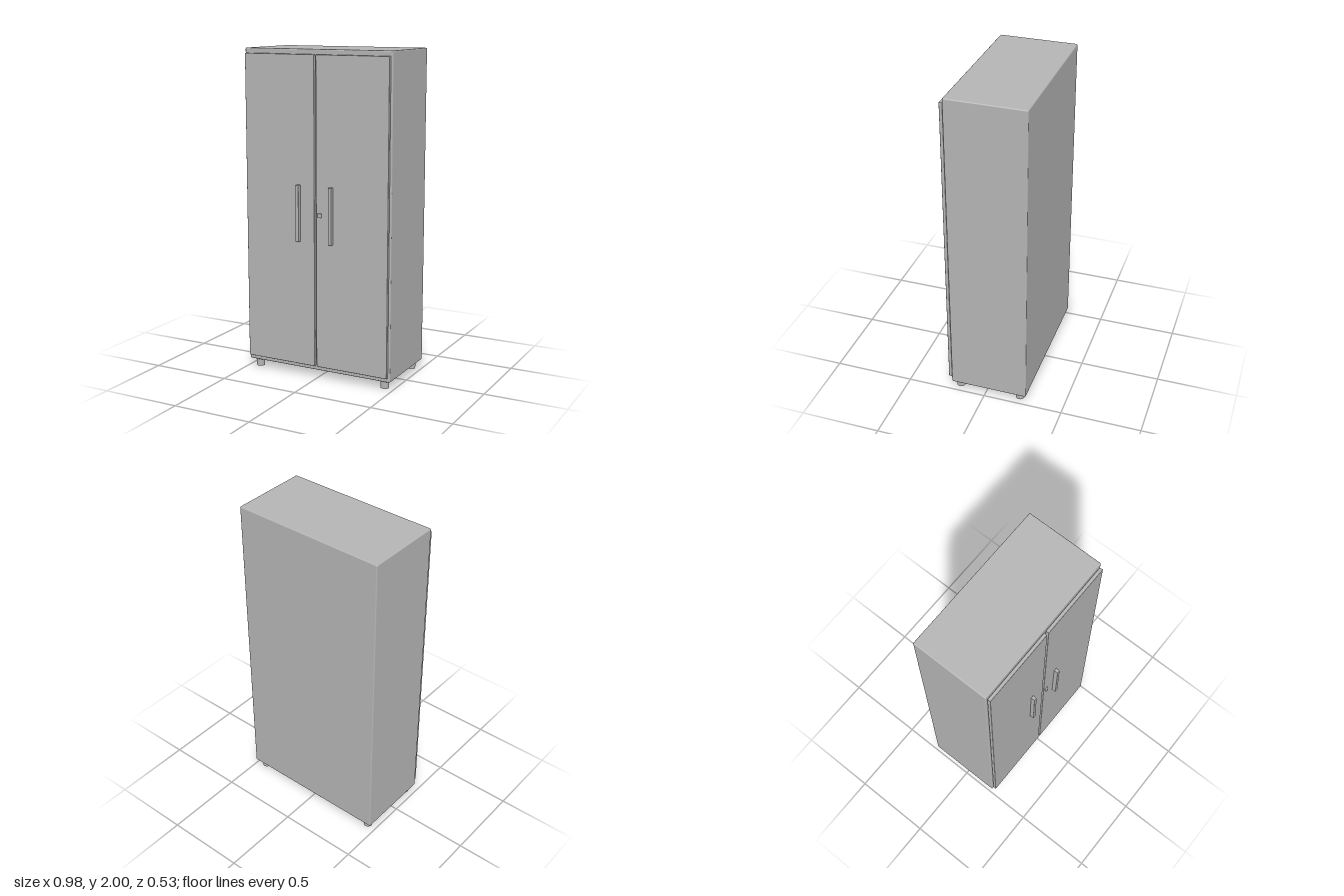
import * as THREE from 'three';
import { RoundedBoxGeometry } from 'three/addons/geometries/RoundedBoxGeometry.js';

export function createModel() {
  const cabinet = new THREE.Group();
  cabinet.name = 'cabinet';

  const greyMetal = new THREE.MeshStandardMaterial({ color: 0xb4b4b4 });
  greyMetal.name = 'greyMetal';

  function add(name, geometry, x, y, z) {
    const mesh = new THREE.Mesh(geometry, greyMetal);
    mesh.name = name;
    mesh.position.set(x, y, z);
    cabinet.add(mesh);
  }

  // Softly bevelled box given by its limits on each axis
  function addBox(name, [x0, x1], [y0, y1], [z0, z1], radius) {
    const geometry = new RoundedBoxGeometry(x1 - x0, y1 - y0, z1 - z0, 2, radius);
    add(name, geometry, (x0 + x1) / 2, (y0 + y1) / 2, (z0 + z1) / 2);
  }

  // Carcass
  addBox('body', [-0.488, 0.488], [0.05, 2], [-0.268, 0.218], 0.007);

  // Doors and bar handles, mirrored about the centre gap
  for (const [side, s] of [['left', 1], ['right', -1]]) {
    const span = (a, b) => (s > 0 ? [a, b] : [-b, -a]);
    addBox(side + 'Door', span(0.006, 0.477), [0.08, 1.97], [0.22, 0.241], 0.003);
    addBox(side + 'Handle', span(0.1, 0.121), [0.855, 1.2], [0.238, 0.267], 0.002);
  }

  // Lock barrel, half sunk into the left door
  add('lock', new THREE.CylinderGeometry(0.0125, 0.0125, 0.025, 24), 0.031, 1.026, 0.241);

  // Feet
  for (const x of [-0.436, 0.436]) {
    for (const z of [-0.218, 0.174]) {
      add('foot', new THREE.CylinderGeometry(0.026, 0.026, 0.052, 24), x, 0.026, z);
    }
  }

  return cabinet;
}
